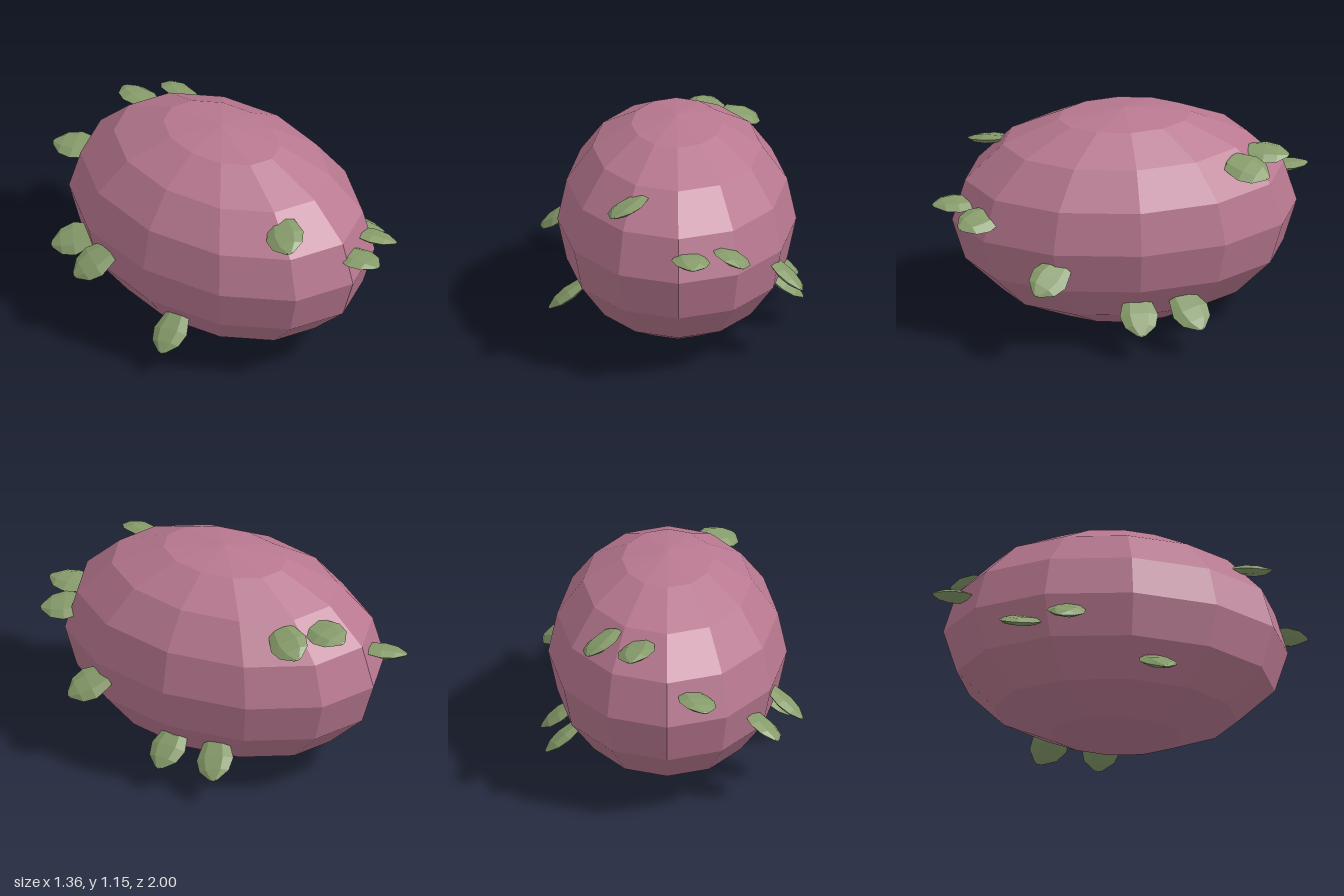
import * as THREE from 'three';

// Leaf tips: x, y, z, then the horizontal direction (x, z) each leaf points in
const LEAVES = [
  // upper ring
  [-0.32, 0.885, 0.75, -0.62, 0.78],
  [0.21, 0.915, -0.85, 0.25, -0.97],
  [0.43, 0.885, -0.71, 0.6, -0.8],
  // middle ring
  [0.09, 0.695, 1.0, 0.05, 1],
  [0.35, 0.665, 0.9, 0.45, 0.9],
  [-0.18, 0.7, -1.0, -0.35, -0.93],
  // lower ring
  [0.66, 0.4, 0.545, 0.75, 0.65],
  [-0.68, 0.385, -0.42, -0.9, -0.45],
  [-0.55, 0.39, -0.69, -0.65, -0.75],
  // bottom ring
  [0.675, 0.14, -0.01, 1, 0],
  [0.65, 0.15, -0.33, 0.92, -0.38],
  [-0.645, 0.145, 0.15, -0.97, 0.2],
];

// Flat six-sided leaf, pointing along +z with its tip at the origin
function leafGeometry() {
  const profile = [[0, -0.26], [0.07, -0.23], [0.1, -0.13], [0.08, -0.06], [0.022, -0.008], [0, 0]]
    .map(([r, y]) => new THREE.Vector2(r, y));
  const geometry = new THREE.LatheGeometry(profile, 6, Math.PI / 2);
  geometry.rotateX(Math.PI / 2);
  geometry.scale(1, 0.27, 1);
  return geometry;
}

export function createModel() {
  const model = new THREE.Group();
  model.name = 'scalyFruit';

  const skin = new THREE.MeshStandardMaterial({ color: 0xb87890, flatShading: true });
  skin.name = 'pink skin';
  const green = new THREE.MeshStandardMaterial({ color: 0x869b6a, flatShading: true });
  green.name = 'leaf green';

  // Faceted egg-like body, long from front to back
  const body = new THREE.Mesh(new THREE.SphereGeometry(1, 12, 8), skin);
  body.name = 'body';
  body.scale.set(0.617, 0.577, 0.9);
  body.position.set(0.02, 0.577, -0.015);
  model.add(body);

  // Leaves point outward and droop more the further they sit to the side
  const leaves = new THREE.Group();
  leaves.name = 'leaves';
  const geometry = leafGeometry();
  LEAVES.forEach(([x, y, z, dx, dz], i) => {
    const leaf = new THREE.Mesh(geometry, green);
    leaf.name = `leaf${i + 1}`;
    leaf.position.set(x, y, z);
    leaf.rotation.set(0, Math.atan2(dx, dz), -0.95 * x, 'ZYX');
    leaves.add(leaf);
  });
  model.add(leaves);

  return model;
}
